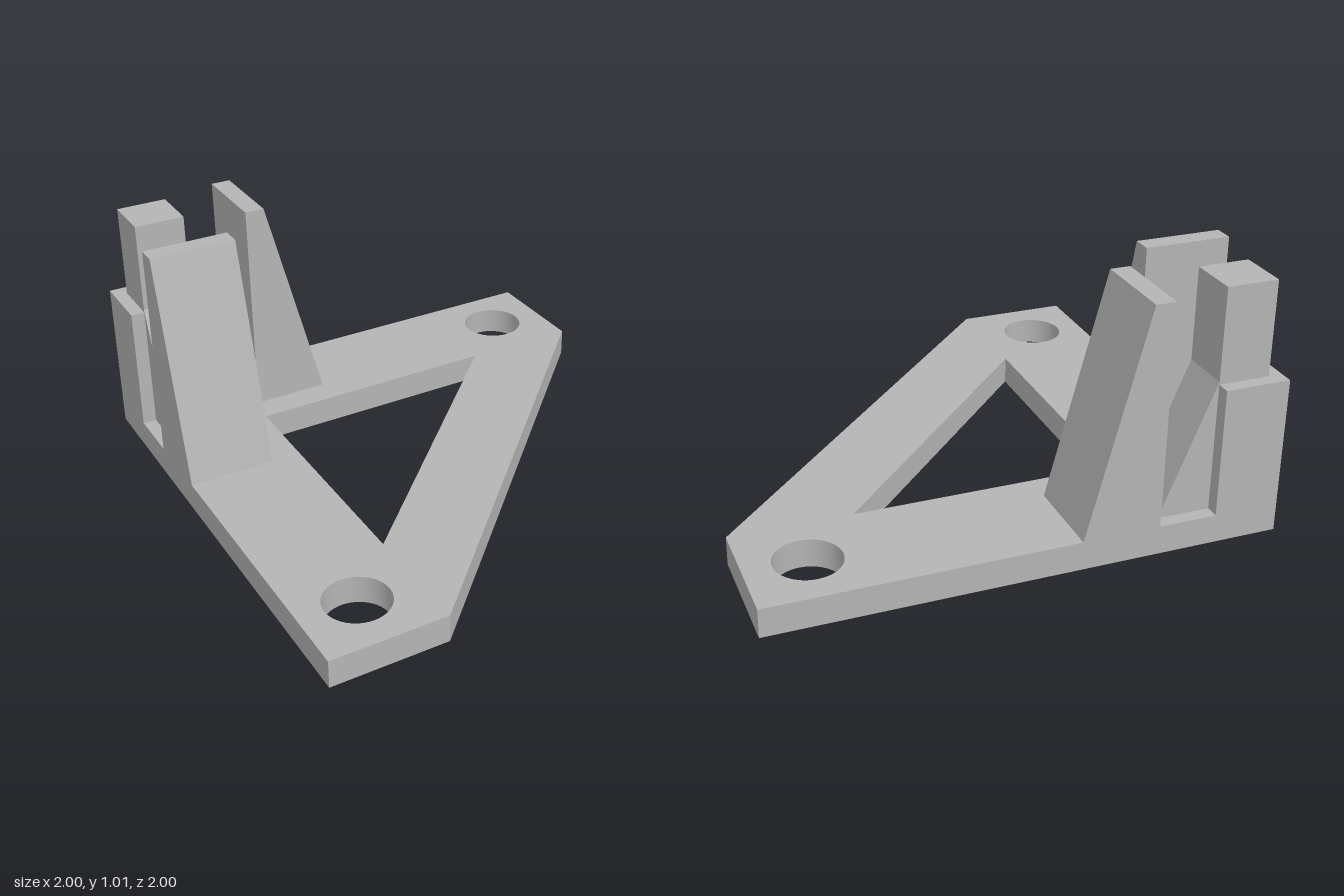
import * as THREE from 'three';
import { toCreasedNormals } from 'three/addons/utils/BufferGeometryUtils.js';

const PLATE = 0.115; // plate thickness
const TOP = 1.01;    // height of the fins and post

const shapeOf = (points) => new THREE.Shape(points.map(([x, y]) => new THREE.Vector2(x, y)));

const extrude = (shape, depth) =>
  new THREE.ExtrudeGeometry(shape, { depth, bevelEnabled: false, curveSegments: 24 });

export function createModel() {
  const group = new THREE.Group();
  const grey = new THREE.MeshStandardMaterial({ color: 0xb4b4b4 });
  grey.name = 'grey';

  function add(name, geometry) {
    const mesh = new THREE.Mesh(geometry, grey);
    mesh.name = name;
    group.add(mesh);
  }

  // Corner plate with cut-off tips, a triangular opening and two screw holes
  const outline = shapeOf([[-1, -1], [-0.525, -1], [1, 0.525], [1, 1], [-1, 1]]);
  outline.holes.push(shapeOf([[-0.53, 0.53], [0.52, 0.53], [-0.53, -0.52]]));
  for (const [x, y] of [[0.76, 0.765], [-0.765, -0.76]]) {
    outline.holes.push(new THREE.Path().absarc(x, y, 0.13, 0, Math.PI * 2, true));
  }
  add('basePlate', toCreasedNormals(extrude(outline, PLATE).rotateX(-Math.PI / 2), 0.6));

  // Box given by its extent along x and z (the same for both) and along y
  function cornerBox(name, from, to, bottom, top) {
    const size = to - from;
    const mid = (from + to) / 2;
    add(name, new THREE.BoxGeometry(size, top - bottom, size).translate(mid, (bottom + top) / 2, mid));
  }
  cornerBox('cornerBlock', -1, -0.74, PLATE, 0.63);
  cornerBox('cornerPost', -0.945, -0.74, 0.63, TOP);

  // Sloped part on the back arm, mirrored across the diagonal onto the side arm
  function addPair(name, profile, from, to) {
    const shape = shapeOf(profile);
    add(name + 'Back', extrude(shape, to - from).translate(0, 0, from));
    add(name + 'Side', extrude(shape, to - from).translate(0, 0, -to).rotateY(-Math.PI / 2));
  }
  addPair('fin', [[-0.51, PLATE], [-0.2, PLATE], [-0.43, TOP], [-0.51, TOP]], -1, -0.65);
  addPair('gusset', [[-0.74, PLATE], [-0.527, PLATE], [-0.74, 0.64]], -0.945, -0.74);

  return group;
}
